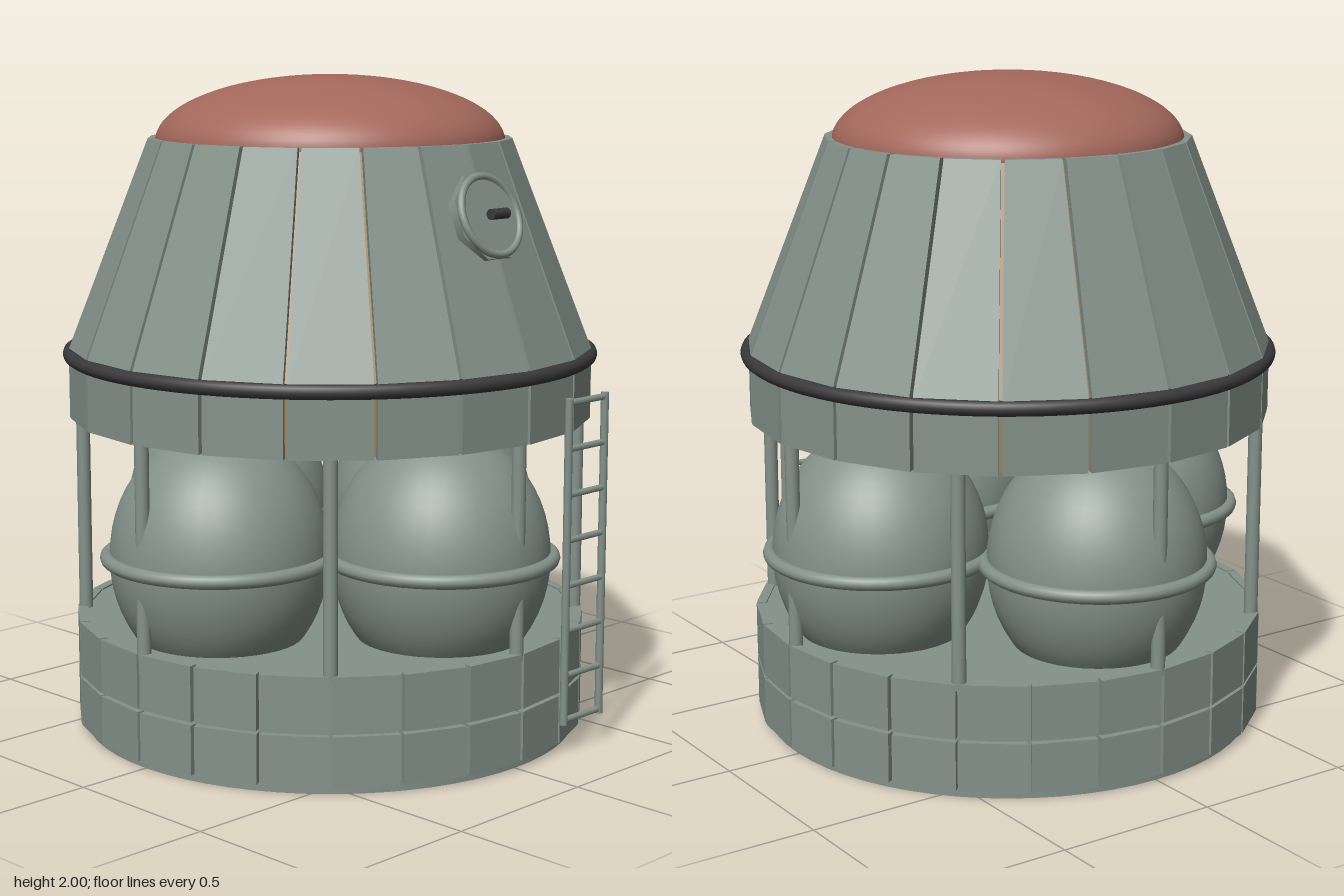
import * as THREE from 'three';

const mat = (name, color) => new THREE.MeshStandardMaterial({ name, color });

export function createModel() {
  const root = new THREE.Group();
  root.name = 'landerModule';
  const grey = mat('hull grey', 0x84928a);
  const red = mat('dome red', 0xa4685c);
  const tan = mat('inner tan', 0xa0845c);
  const dark = mat('dark trim', 0x3a3a3c);

  const add = (parent, name, geo, material, x = 0, y = 0, z = 0) => {
    const mesh = new THREE.Mesh(geo, material);
    mesh.name = name;
    mesh.position.set(x, y, z);
    parent.add(mesh);
    return mesh;
  };
  const group = (name, parent = root) => {
    const g = new THREE.Group();
    g.name = name;
    parent.add(g);
    return g;
  };
  const drum = (name, rTop, rBottom, y0, y1, material) =>
    add(root, name, new THREE.CylinderGeometry(rTop, rBottom, y1 - y0, 64), material, 0, (y0 + y1) / 2);

  // Ring of flat plates with narrow gaps: a box bent to a wedge of a frustum
  const panelRing = (name, count, rBottom, rTop, y0, y1, thick, gap = 0.011) => {
    const ring = group(name);
    const step = (Math.PI * 2) / count;
    const geo = new THREE.BoxGeometry(1, 1, 1);
    const p = geo.attributes.position;
    for (let i = 0; i < p.count; i++) {
      const t = p.getY(i) + 0.5;
      const r = rBottom + (rTop - rBottom) * t;
      const a = Math.sign(p.getX(i)) * (step / 2 - gap / 2 / r);
      const rr = r - (p.getZ(i) > 0 ? 0 : thick);
      p.setXYZ(i, Math.sin(a) * rr, y0 + (y1 - y0) * t, Math.cos(a) * rr);
    }
    geo.computeVertexNormals();
    for (let i = 0; i < count; i++) {
      add(ring, 'panel', geo, grey).rotation.y = (i + 0.5) * step;
    }
  };

  // Base drum with two rows of panels
  drum('baseCore', 0.765, 0.765, 0, 0.345, grey);
  panelRing('lowerBasePanels', 24, 0.79, 0.79, 0.026, 0.175, 0.03);
  panelRing('upperBasePanels', 24, 0.79, 0.79, 0.185, 0.35, 0.03);

  // Cabin: skirt band and sloping wall over a tan core
  drum('skirtCore', 0.775, 0.775, 0.975, 1.18, tan);
  drum('cabinCore', 0.525, 0.775, 1.18, 1.806, tan);
  panelRing('skirtPanels', 20, 0.8, 0.8, 0.97, 1.165, 0.03);
  panelRing('cabinPanels', 20, 0.806, 0.553, 1.165, 1.812, 0.03);
  const bumper = add(root, 'bumperRing', new THREE.TorusGeometry(0.796, 0.022, 10, 80), dark, 0, 1.162);
  bumper.rotation.x = Math.PI / 2;

  // Flattened dome roof
  const dome = add(root, 'domeRoof',
    new THREE.SphereGeometry(1, 64, 20, 0, Math.PI * 2, 0, Math.PI / 2), red, 0, 1.8);
  dome.scale.set(0.53, 0.2, 0.53);

  // Four tanks, each with a belt
  const tankGeo = new THREE.SphereGeometry(1, 40, 28);
  const beltGeo = new THREE.TorusGeometry(0.335, 0.021, 10, 48);
  for (let i = 0; i < 4; i++) {
    const tank = group('tank');
    const a = (i * Math.PI) / 2;
    tank.position.set(Math.sin(a) * 0.465, 0.592, Math.cos(a) * 0.465);
    add(tank, 'tankShell', tankGeo, grey).scale.set(0.328, 0.38, 0.328);
    add(tank, 'tankBelt', beltGeo, grey).rotation.x = Math.PI / 2;
  }

  // Eight struts between base and cabin
  const strutGeo = new THREE.CylinderGeometry(0.021, 0.021, 0.66, 14);
  for (let i = 0; i < 8; i++) {
    const a = (i * Math.PI) / 4;
    add(root, 'strut', strutGeo, grey, Math.sin(a) * 0.765, 0.66, Math.cos(a) * 0.765);
  }

  // Round hatch lying on the sloping wall; local +z points out of the wall
  const hatch = group('hatch');
  hatch.position.set(0, 1.61, 0.632);
  hatch.rotation.x = -Math.atan(0.253 / 0.647);
  const flange = add(hatch, 'hatchFlange', new THREE.CylinderGeometry(0.136, 0.136, 0.03, 8), grey, 0, 0, -0.007);
  flange.rotation.set(Math.PI / 2, Math.PI / 8, 0);
  const door = add(hatch, 'hatchDoor', new THREE.CylinderGeometry(0.115, 0.115, 0.03, 40), grey, 0, 0, 0.002);
  door.rotation.x = Math.PI / 2;
  add(hatch, 'hatchRim', new THREE.TorusGeometry(0.117, 0.012, 8, 40), grey, 0, 0, 0.014);
  const handle = add(hatch, 'hatchHandle', new THREE.CylinderGeometry(0.016, 0.016, 0.07, 12), dark, 0, -0.005, 0.046);
  handle.rotation.z = Math.PI / 2;

  // Ladder
  const ladder = group('ladder');
  ladder.position.set(0.273, 0, 0.792);
  const railGeo = new THREE.CylinderGeometry(0.012, 0.012, 0.985, 10);
  for (const s of [-1, 1]) add(ladder, 'ladderRail', railGeo, grey, s * 0.083, 0.587, 0);
  const rungGeo = new THREE.CylinderGeometry(0.01, 0.01, 0.166, 8);
  for (let i = 0; i < 8; i++) {
    add(ladder, 'ladderRung', rungGeo, grey, 0, 0.108 + i * 0.137, 0).rotation.z = Math.PI / 2;
  }

  return root;
}
